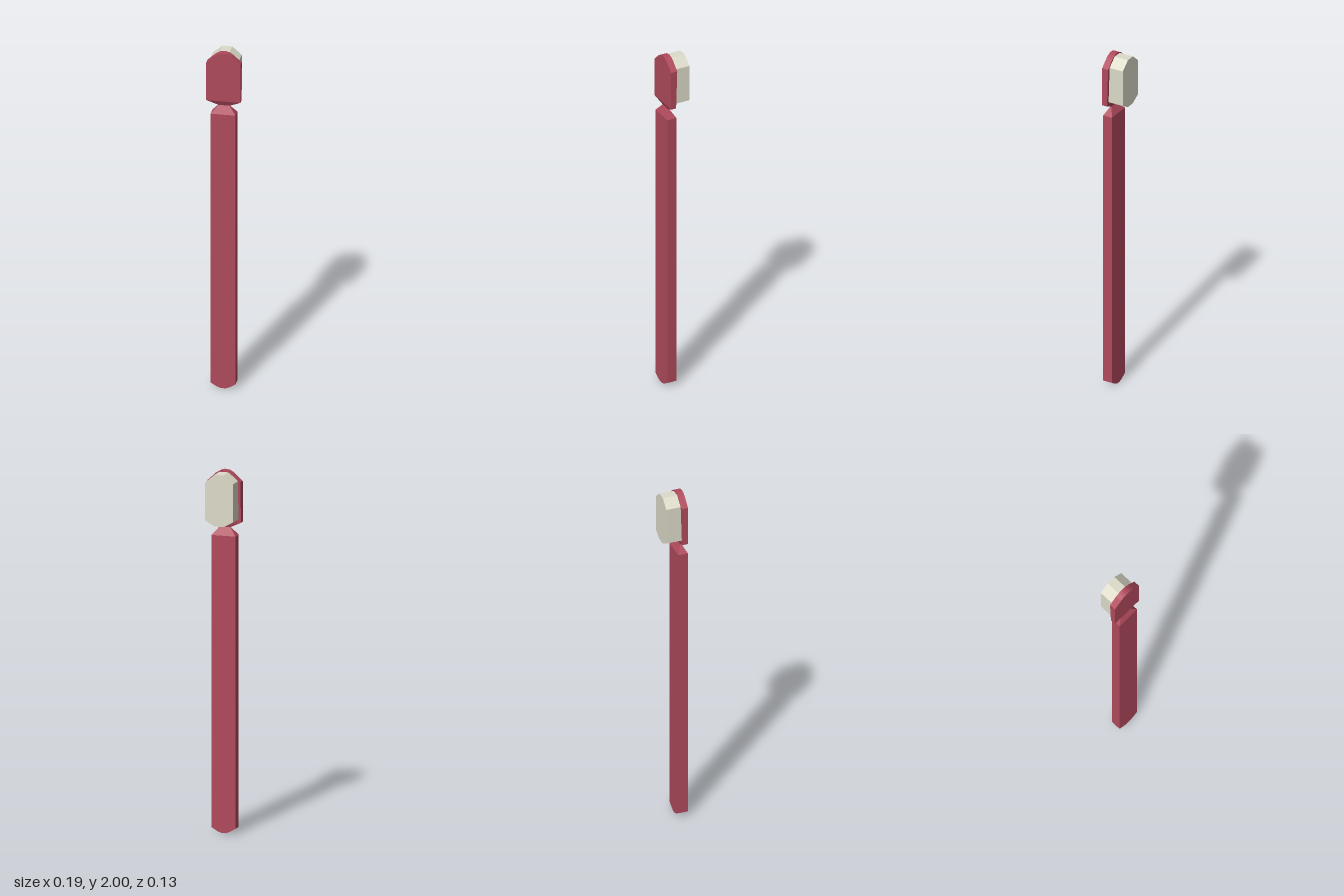
import * as THREE from 'three';

const red = new THREE.MeshStandardMaterial({ color: 0xb04a5c, flatShading: true });
const cream = new THREE.MeshStandardMaterial({ color: 0xdddbc9, flatShading: true });

// Lofts rectangular sections [y, half width, back z, front z] from bottom to top
function loft(name, sections, material) {
  const pos = [], idx = [];
  for (const [y, w, zb, zf] of sections) pos.push(-w, y, zf, w, y, zf, w, y, zb, -w, y, zb);
  for (let s = 0; s < sections.length - 1; s++) {
    for (let i = 0; i < 4; i++) {
      const a = s * 4 + i, b = s * 4 + (i + 1) % 4;
      idx.push(a, b, b + 4, a, b + 4, a + 4);
    }
  }
  const t = (sections.length - 1) * 4;
  idx.push(0, 2, 1, 0, 3, 2, t, t + 1, t + 2, t, t + 2, t + 3);
  const indexed = new THREE.BufferGeometry();
  indexed.setAttribute('position', new THREE.Float32BufferAttribute(pos, 3));
  indexed.setIndex(idx);
  const geometry = indexed.toNonIndexed();
  geometry.computeVertexNormals();
  const mesh = new THREE.Mesh(geometry, material);
  mesh.name = name;
  return mesh;
}

export function createModel() {
  const group = new THREE.Group();
  group.name = 'toothbrush';

  // Long handle with a rounded foot, tapering to the pinched neck
  group.add(loft('handle', [
    [0, 0.012, 0.008, 0.063],
    [0.008, 0.034, 0.008, 0.063],
    [0.028, 0.068, 0.008, 0.063],
    [1.64, 0.068, 0.008, 0.063],
    [1.685, 0.031, 0.033, 0.039],
  ], red));

  // Head plate, flaring out of the neck to a rounded top
  group.add(loft('head', [
    [1.685, 0.031, 0.033, 0.039],
    [1.715, 0.094, 0.024, 0.054],
    [1.94, 0.094, 0.017, 0.054],
    [1.983, 0.047, 0.017, 0.054],
    [1.996, 0.025, 0.017, 0.054],
    [2, 0.008, 0.017, 0.054],
  ], red));

  // Block of bristles on the back of the head
  const bristles = loft('bristles', [
    [1.705, 0.026, -0.066, 0.025],
    [1.735, 0.079, -0.066, 0.025],
    [1.945, 0.079, -0.066, 0.025],
    [1.99, 0.026, -0.066, 0.025],
  ], cream);
  bristles.position.x = -0.001;
  group.add(bristles);

  return group;
}
